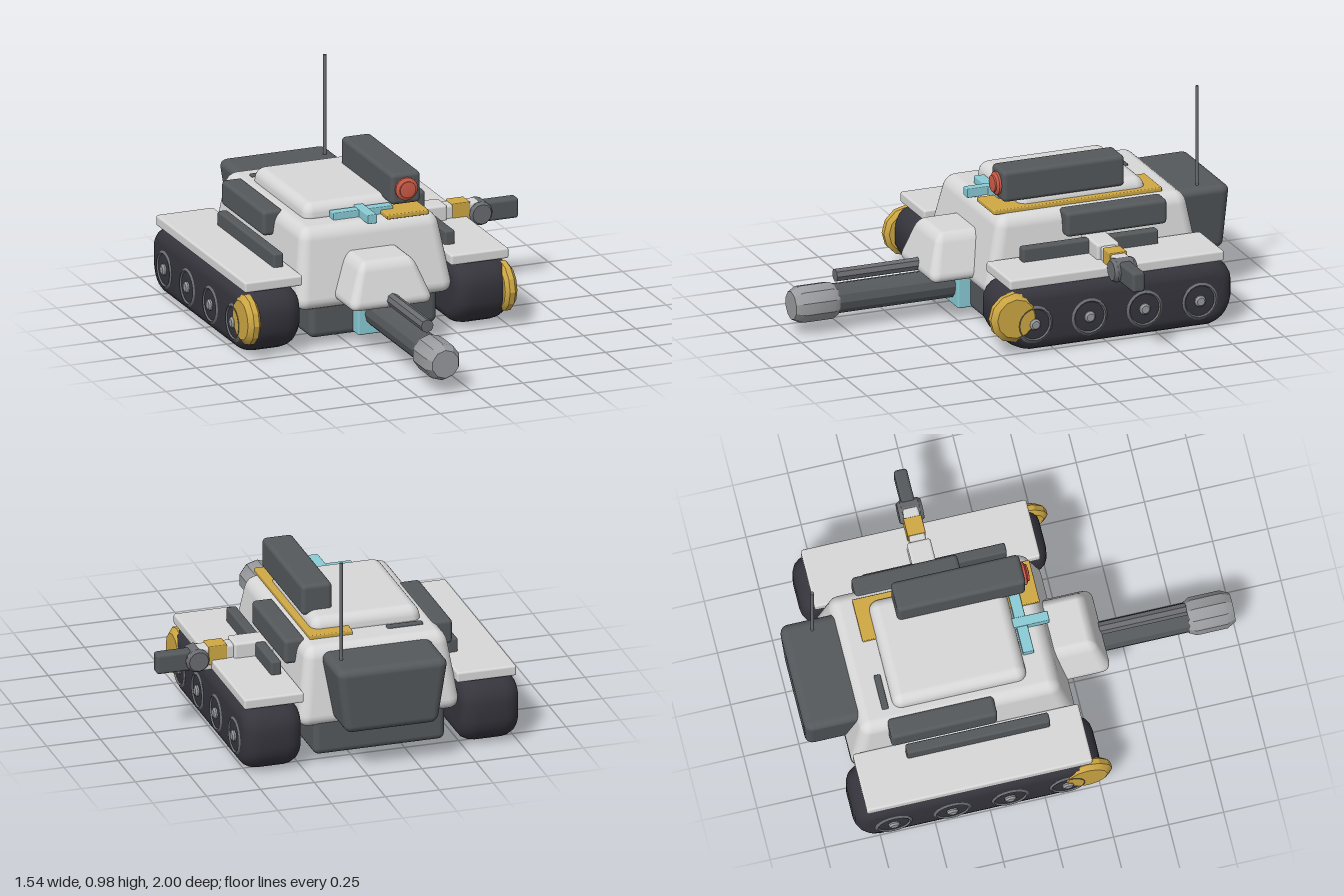
import * as THREE from 'three';
import { toCreasedNormals } from 'three/addons/utils/BufferGeometryUtils.js';
import { RoundedBoxGeometry } from 'three/addons/geometries/RoundedBoxGeometry.js';

const CX = -0.12; // symmetry plane of the vehicle body

function paint(name, color) {
  const m = new THREE.MeshStandardMaterial({ color });
  m.name = name;
  return m;
}

// Rounded box between two corners; the top is scaled by tx, tz and moved by shift along z.
function block(x0, x1, y0, y1, z0, z1, r, tx = 1, tz = 1, shift = 0) {
  const h = y1 - y0;
  const g = new RoundedBoxGeometry(x1 - x0, h, z1 - z0, 3, r);
  const p = g.attributes.position, n = g.attributes.normal, v = new THREE.Vector3();
  for (let i = 0; i < p.count; i++) {
    const x = p.getX(i), z = p.getZ(i), t = p.getY(i) / h + 0.5;
    const sx = 1 + (tx - 1) * t, sz = 1 + (tz - 1) * t;
    p.setX(i, x * sx);
    p.setZ(i, z * sz + shift * t);
    const nx = n.getX(i) / sx, nz = n.getZ(i) / sz;
    v.set(nx, n.getY(i) - (x * (tx - 1) * nx + (z * (tz - 1) + shift) * nz) / h, nz).normalize();
    n.setXYZ(i, v.x, v.y, v.z);
  }
  return g.translate((x0 + x1) / 2, (y0 + y1) / 2, (z0 + z1) / 2);
}

// Faceted solid of revolution from [radius, position] pairs, turned to lie along an axis.
function turned(profile, axis, sides, x, y, z) {
  const pts = profile.map(([r, a]) => new THREE.Vector2(r, a));
  const g = toCreasedNormals(new THREE.LatheGeometry(pts, sides), 0.5);
  if (axis === 'z') g.rotateX(Math.PI / 2);
  if (axis === 'x') g.rotateZ(-Math.PI / 2);
  return g.translate(x, y, z);
}

// Track hull: side outline extruded across with a rounded bevel.
function trackGeometry() {
  const s = new THREE.Shape();
  s.moveTo(-0.74, 0.06);
  s.lineTo(0.1, 0.06);
  s.quadraticCurveTo(0.17, 0.07, 0.2, 0.14);
  s.lineTo(0.2, 0.2);
  s.quadraticCurveTo(0.2, 0.24, 0.15, 0.245);
  s.lineTo(-0.75, 0.245);
  s.quadraticCurveTo(-0.8, 0.24, -0.8, 0.2);
  s.lineTo(-0.8, 0.13);
  s.quadraticCurveTo(-0.79, 0.07, -0.74, 0.06);
  const g = new THREE.ExtrudeGeometry(s, {
    depth: 0.12, bevelThickness: 0.075, bevelSize: 0.06, bevelSegments: 4, curveSegments: 5,
  });
  return toCreasedNormals(g.translate(0, 0, -0.06).rotateY(-Math.PI / 2), 0.7);
}

export function createModel() {
  const group = new THREE.Group();
  group.name = 'armouredVehicle';
  const white = paint('lightArmour', 0xd8d8d8);
  const dark = paint('darkGrey', 0x55595c);
  const rubber = paint('trackRubber', 0x36353d);
  const steel = paint('steel', 0x999b9e);
  const iron = paint('wheelIron', 0x6a6c70);
  const yellow = paint('yellow', 0xd0a945);
  const cyan = paint('cyan', 0x8accd6);
  const red = paint('red', 0xcf5c48);

  const add = (name, geometry, material, parent = group) => {
    const m = new THREE.Mesh(geometry, material);
    m.name = name;
    parent.add(m);
    return m;
  };

  // Hull, chassis and turret roof
  add('chassis', block(-0.425, 0.185, 0.035, 0.25, -0.8, 0.18, 0.03), dark);
  add('hull', block(-0.5, 0.26, 0.175, 0.535, -0.82, 0.22, 0.055, 0.86, 0.86, -0.01), white);
  add('turretRoof', block(-0.385, 0.135, 0.5, 0.6, -0.605, 0.015, 0.045, 0.96, 0.96), white);
  add('roofSlot', block(-0.37, -0.205, 0.52, 0.545, -0.65, -0.62, 0.006), dark);
  for (const x of [-0.385, 0.145]) {
    add('roofBolt', turned([[0.013, 0], [0.013, 0.02], [0, 0.025]], 'y', 10, x, 0.51, 0.065), iron);
  }

  // Main gun
  add('mantlet', block(-0.33, 0.085, 0.21, 0.42, 0.08, 0.415, 0.045, 0.6, 0.74, -0.025), white);
  add('barrel', turned([[0, 0], [0.068, 0], [0.068, 0.65], [0, 0.65]], 'z', 12, CX, 0.14, 0.15), dark);
  add('muzzle', turned([[0, 0], [0.07, 0], [0.086, 0.03], [0.086, 0.17], [0.065, 0.21], [0, 0.21]],
    'z', 10, CX, 0.135, 0.79), steel);
  add('upperTube', turned([[0, 0], [0.03, 0], [0.03, 0.45], [0, 0.45]], 'z', 8, CX, 0.248, 0.34), iron);
  add('gunCradle', block(-0.22, -0.025, 0.045, 0.2, 0.05, 0.24, 0.008), cyan);

  // Rear stowage box and antenna
  add('rearBox', block(-0.335, 0.095, 0.2, 0.51, -0.985, -0.71, 0.035, 1.21, 1.12), dark);
  add('antenna', new THREE.CylinderGeometry(0.008, 0.008, 0.475, 8).translate(0.08, 0.738, -0.86), iron);

  // Roof launcher on its yellow plate
  add('launcherPlate', block(-0.04, 0.16, 0.532, 0.553, -0.66, 0.145, 0.005), yellow);
  add('launcherMount', block(0.03, 0.11, 0.54, 0.59, -0.4, 0, 0.01), dark);
  add('launcher', block(0, 0.142, 0.575, 0.72, -0.49, 0.092, 0.02), dark);
  add('launcherRing', turned([[0, 0], [0.053, 0], [0.053, 0.02], [0.038, 0.028], [0.038, 0.035], [0, 0.04]],
    'z', 16, 0.07, 0.648, 0.082), red);

  // Roof sight
  add('sightBar', block(-0.265, 0.02, 0.525, 0.567, 0.015, 0.065, 0.004), cyan);
  add('sightRail', block(-0.143, -0.098, 0.53, 0.572, -0.01, 0.165, 0.004), cyan);

  // Running gear and side fittings, mirrored about the body plane
  for (const s of [1, -1]) {
    const side = new THREE.Group();
    side.name = s > 0 ? 'leftSide' : 'rightSide';
    side.position.x = CX;
    group.add(side);
    const span = (a, b) => (s > 0 ? [a, b] : [-b, -a]);
    const disc = (profile, sides, x, y, z) =>
      turned(profile, 'x', sides, 0, 0, 0).rotateY(s > 0 ? 0 : Math.PI).translate(s * x, y, z);

    add('track', trackGeometry().translate(s * 0.505, 0, 0), rubber, side);
    add('fender', block(...span(0.355, 0.632), 0.303, 0.352, -0.81, 0.215, 0.01), white, side);
    for (const z of [0.1, -0.162, -0.425, -0.69]) {
      add('wheel', disc([[0, 0], [0.092, 0], [0.092, 0.05], [0.075, 0.062], [0.065, 0.05], [0, 0.05]],
        20, 0.585, 0.135, z), iron, side);
      add('wheelHub', disc([[0.026, 0], [0.026, 0.022], [0.018, 0.03], [0, 0.03]], 12, 0.625, 0.135, z), steel, side);
    }
    add('frontDisc', disc([[0, 0], [0.095, 0], [0.115, 0.015], [0.115, 0.04], [0.09, 0.06], [0, 0.06]],
      12, 0.585, 0.173, 0.19), yellow, side);
    add('sideBox', block(...span(0.292, 0.39), 0.42, 0.536, -0.64, -0.158, 0.018), dark, side);
    add('sideRail', block(...span(0.386, 0.434), 0.34, 0.416, -0.58, 0.07, 0.01), dark, side);
  }

  // Side arm
  const arm = new THREE.Group();
  arm.name = 'sideArm';
  group.add(arm);
  add('armBase', block(0.2, 0.41, 0.33, 0.422, -0.352, -0.245, 0.012), white, arm);
  add('armBeam', block(0.36, 0.575, 0.302, 0.412, -0.335, -0.262, 0.012), white, arm);
  add('armBand', block(0.44, 0.525, 0.33, 0.418, -0.34, -0.258, 0.004), yellow, arm);
  add('armJoint', turned([[0, -0.055], [0.045, -0.055], [0.055, -0.04], [0.055, 0.04], [0.045, 0.055], [0, 0.055]],
    'z', 12, 0.575, 0.357, -0.297), iron, arm);
  add('armTip', block(0.575, 0.762, 0.308, 0.402, -0.328, -0.268, 0.014), dark, arm);

  return group;
}
